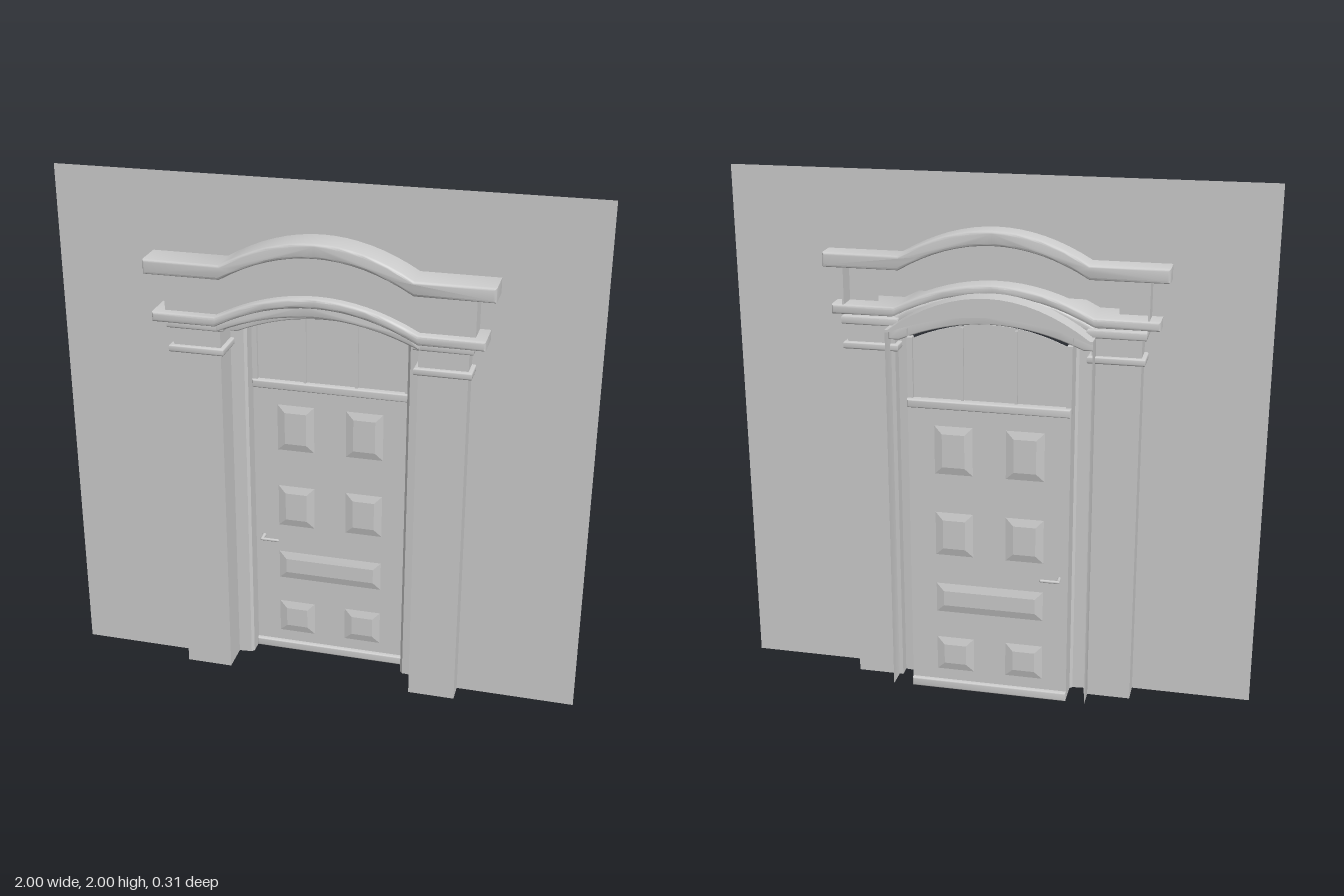
import * as THREE from 'three';
import { toCreasedNormals } from 'three/addons/utils/BufferGeometryUtils.js';

const grey = new THREE.MeshStandardMaterial({ color: 0xcccccc });
const thin = new THREE.MeshStandardMaterial({ color: 0xcccccc, side: THREE.DoubleSide });

export function createModel() {
  const model = new THREE.Group();

  function add(name, geometry, material = grey) {
    const mesh = new THREE.Mesh(geometry, material);
    mesh.name = name;
    model.add(mesh);
    return mesh;
  }

  // box given by its lower and upper limits
  function box(name, x0, x1, y0, y1, z0, z1, material) {
    const mesh = add(name, new THREE.BoxGeometry(x1 - x0, y1 - y0, z1 - z0), material);
    mesh.position.set((x0 + x1) / 2, (y0 + y1) / 2, (z0 + z1) / 2);
    return mesh;
  }

  // outline extruded between z0 and z1, edges optionally rounded within its limits
  function slab(name, shape, z0, z1, round = 0, material = grey) {
    const g = new THREE.ExtrudeGeometry(shape, {
      depth: z1 - z0 - 2 * round, bevelEnabled: round > 0, bevelSize: round,
      bevelThickness: round, bevelOffset: -round, bevelSegments: 3
    });
    g.translate(0, 0, z0 + round);
    return add(name, toCreasedNormals(g, 0.6), material);
  }

  // flat ends with a parabolic swell between x = -span and x = span
  const swell = (x, base, rise, span) => base + rise * Math.max(0, 1 - (x / span) ** 2);

  // band between two swelling lines; each line is [base, rise]
  function band(half, lower, upper, span = 0.35) {
    const xs = [];
    for (let i = 0; i <= 16; i++) xs.push(-span + (2 * span * i) / 16);
    if (half > span) { xs.unshift(-half); xs.push(half); }
    const low = xs.map(x => new THREE.Vector2(x, swell(x, ...lower, span)));
    const high = xs.map(x => new THREE.Vector2(x, swell(x, ...upper, span))).reverse();
    return new THREE.Shape([...low, ...high]);
  }

  // wall sheet with the doorway cut out
  const wall = new THREE.Shape([[-1, 0], [-0.45, 0], [-0.45, 1.56], [0.45, 1.56],
    [0.45, 0], [1, 0], [1, 2], [-1, 2]].map(p => new THREE.Vector2(...p)));
  add('wall', new THREE.ShapeGeometry(wall), thin).position.z = 0.02;

  for (const s of [-1, 1]) {
    const side = (name, a, b, ...rest) => box(name, Math.min(s * a, s * b), Math.max(s * a, s * b), ...rest);

    // pillar with its collar and capital
    side('pillar', 0.365, 0.545, 0, 1.475, -0.065, 0.095);
    const ring = (name, y0, y1, grow) => {
      const shape = new THREE.Shape([[0.365 - grow, -0.095 - grow], [0.545 + grow, -0.095 - grow],
        [0.545 + grow, 0.065 + grow], [0.365 - grow, 0.065 + grow]].map(p => new THREE.Vector2(...p)));
      const mesh = slab(name, shape, y0, y1, 0.006);
      mesh.rotation.x = -Math.PI / 2;
      mesh.position.x = s < 0 ? -0.91 : 0;
    };
    ring('collar', 1.35, 1.377, 0.015);
    ring('capital', 1.445, 1.477, 0.018);

    // door jamb: a thin folded sheet, open at the back
    const jamb = [[0.305, -0.12], [0.305, -0.035], [0.315, -0.025], [0.375, -0.02], [0.38, -0.03], [0.38, -0.145]];
    const positions = [], index = [];
    jamb.forEach(([x, z], i) => {
      positions.push(s * x, 0, z, s * x, 1.45, z);
      if (i) index.push(2 * i - 2, 2 * i, 2 * i - 1, 2 * i - 1, 2 * i, 2 * i + 1);
    });
    const g = new THREE.BufferGeometry();
    g.setAttribute('position', new THREE.Float32BufferAttribute(positions, 3));
    g.setIndex(index);
    add('doorJamb', toCreasedNormals(g, 0.5), thin);

    // return of the frieze and window bars
    side('friezeReturn', 0.56, 0.567, 1.49, 1.66, -0.055, 0.11);
    side('windowSideBar', 0.285, 0.305, 1.18, 1.42, -0.12, -0.09);
    side('windowBar', 0.095, 0.105, 1.18, 1.465, -0.117, -0.093);
  }

  // entablature
  slab('upperCornice', band(0.635, [1.65, 0.105], [1.705, 0.105]), -0.065, 0.14, 0.01);
  slab('frieze', band(0.567, [1.49, 0.1], [1.66, 0.105]), 0.1, 0.11);
  slab('lowerCornice', band(0.607, [1.475, 0.1], [1.512, 0.1], 0.37), -0.062, 0.145, 0.01);
  slab('corniceMoulding', band(0.375, [1.445, 0.085], [1.48, 0.1], 0.37), -0.065, 0.115, 0.008);

  // arched head of the door frame
  slab('frameArch', band(0.38, [1.402, 0.075], [1.45, 0.08], 0.34), -0.1, -0.02, 0.005);
  slab('frameArchHood', band(0.38, [1.44, 0.075], [1.45, 0.135], 0.37), -0.145, -0.06);

  // arched window above the door
  slab('windowPane', band(0.305, [1.17, 0], [1.405, 0.075], 0.305), -0.107, -0.103);

  // door leaf, raised panels on both faces
  box('door', -0.305, 0.305, 0.03, 1.165, -0.125, -0.097);
  function panel(x0, x1, y0, y1) {
    const shape = new THREE.Shape([[x0, y0], [x1, y0], [x1, y1], [x0, y1]].map(p => new THREE.Vector2(...p)));
    const g = new THREE.ExtrudeGeometry(shape, {
      depth: 0.028, bevelSize: 0.03, bevelOffset: -0.03, bevelThickness: 0.008, bevelSegments: 1
    });
    add('doorPanel', g).position.z = -0.125;
  }
  for (const [y0, y1] of [[0.08, 0.22], [0.57, 0.745], [0.9, 1.09]]) {
    panel(-0.21, -0.065, y0, y1);
    panel(0.06, 0.205, y0, y1);
  }
  panel(-0.21, 0.205, 0.33, 0.45);

  // transom and threshold bars
  const bar = (name, y0, y1, z0, z1) => slab(name, new THREE.Shape([[-0.305, y0], [0.305, y0], [0.305, y1], [-0.305, y1]]
    .map(p => new THREE.Vector2(...p))), z0, z1, 0.006);
  bar('transom', 1.158, 1.19, -0.14, -0.08);
  bar('threshold', 0, 0.035, -0.142, -0.08);

  // lever handles, inside and out
  for (const [face, dir] of [[-0.097, 1], [-0.125, -1]]) {
    const spindle = add('handleSpindle', new THREE.CylinderGeometry(0.006, 0.008, 0.035, 12));
    spindle.rotation.x = Math.PI / 2;
    spindle.position.set(-0.272, 0.515, face + dir * 0.017);
    const lever = add('handleLever', new THREE.CapsuleGeometry(0.006, 0.065, 4, 10));
    lever.rotation.z = Math.PI / 2;
    lever.position.set(-0.24, 0.515, face + dir * 0.035);
  }

  return model;
}
